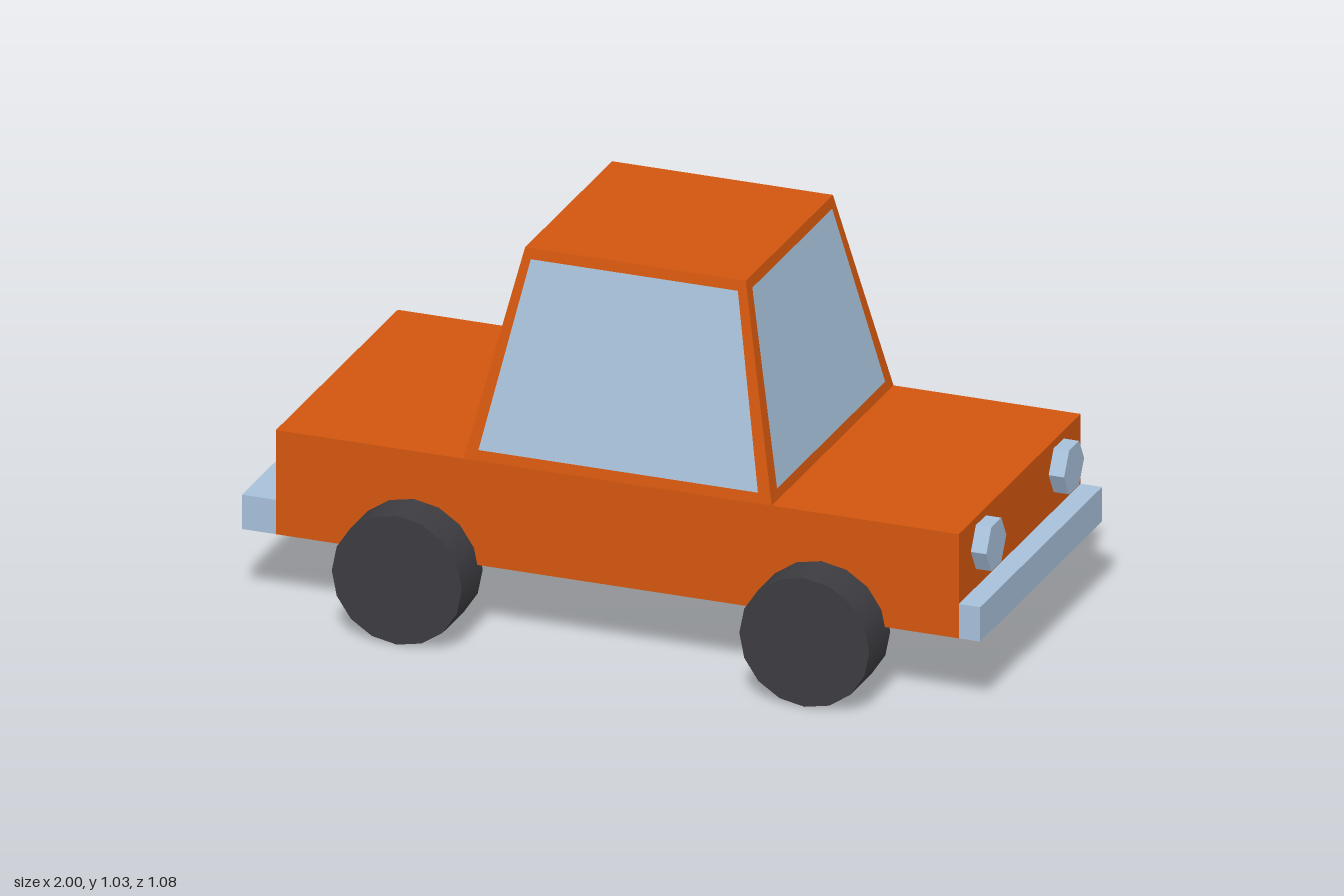
import * as THREE from 'three';

const paint = new THREE.MeshStandardMaterial({ color: 0xd2560e, flatShading: true });
const glass = new THREE.MeshStandardMaterial({ color: 0xa6bfd9, flatShading: true });
const rubber = new THREE.MeshStandardMaterial({ color: 0x3c3c41 });

const WIDTH = 0.84;
const BELT = 0.485, ROOF = 1.035;

function add(parent, name, geometry, material, x = 0, y = 0, z = 0) {
  const mesh = new THREE.Mesh(geometry, material);
  mesh.name = name;
  mesh.position.set(x, y, z);
  parent.add(mesh);
  return mesh;
}

// Box across the full car width, given by its side outline
function slab(parent, name, material, x0, x1, y0, y1) {
  return add(parent, name, new THREE.BoxGeometry(x1 - x0, y1 - y0, WIDTH), material, (x0 + x1) / 2, (y0 + y1) / 2, 0);
}

// Point on the tapered cabin: u along x (0..1), v up (0..1), w across z (-1..1)
function cabinPoint(u, v, w) {
  const back = THREE.MathUtils.lerp(-0.4, -0.28, v);
  const front = THREE.MathUtils.lerp(0.435, 0.318, v);
  const half = THREE.MathUtils.lerp(0.42, 0.3, v);
  return new THREE.Vector3(THREE.MathUtils.lerp(back, front, u), THREE.MathUtils.lerp(BELT, ROOF, v), half * w);
}

// Flat window pane from four corners, anticlockwise seen from outside
function pane(parent, name, corners) {
  const [a, b, , d] = corners;
  const normal = b.clone().sub(a).cross(d.clone().sub(a)).normalize();
  const geometry = new THREE.BufferGeometry().setFromPoints(corners.map((p) => p.addScaledVector(normal, 0.002)));
  geometry.setIndex([0, 1, 2, 0, 2, 3]);
  geometry.computeVertexNormals();
  add(parent, name, geometry, glass);
}

export function createModel() {
  const car = new THREE.Group();
  car.name = 'car';

  // Body and bumpers
  slab(car, 'body', paint, -0.908, 0.942, 0.2, BELT);
  slab(car, 'rearBumper', glass, -1, -0.908, 0.2, 0.294);
  slab(car, 'frontBumper', glass, 0.942, 1, 0.2, 0.294);

  // Cabin: a box whose corners are moved onto the taper
  const cabin = new THREE.Group();
  cabin.name = 'cabin';
  car.add(cabin);
  const shell = new THREE.BoxGeometry(1, 1, 2);
  const pos = shell.attributes.position;
  for (let i = 0; i < pos.count; i++) {
    const p = cabinPoint(pos.getX(i) + 0.5, pos.getY(i) + 0.5, pos.getZ(i));
    pos.setXYZ(i, p.x, p.y, p.z);
  }
  shell.computeVertexNormals();
  add(cabin, 'cabinShell', shell, paint);

  // Windows with an even frame around them
  const low = 0.05, high = 0.95;
  const ring = [[0, low], [1, low], [1, high], [0, high]];
  for (const s of [1, -1]) {
    const side = ring.map(([t, v]) => cabinPoint(s > 0 ? 0.04 + 0.92 * t : 0.96 - 0.92 * t, v, s));
    pane(cabin, s > 0 ? 'nearSideWindow' : 'farSideWindow', side);
    const end = ring.map(([t, v]) => cabinPoint(s > 0 ? 1 : 0, v, s * (0.9 - 1.8 * t)));
    pane(cabin, s > 0 ? 'windscreen' : 'rearWindow', end);
  }

  // Hexagonal headlights
  const lamp = new THREE.CylinderGeometry(0.069, 0.069, 0.042, 6).rotateZ(Math.PI / 2);
  for (const s of [1, -1]) add(car, 'headlight', lamp, glass, 0.963, 0.404, s * 0.268);

  // Wheels
  const wheel = new THREE.CylinderGeometry(0.176, 0.176, 0.145, 16).rotateX(Math.PI / 2);
  for (const x of [-0.534, 0.57])
    for (const s of [1, -1]) add(car, x > 0 ? 'frontWheel' : 'rearWheel', wheel, rubber, x, 0.178, s * 0.466);

  return car;
}
